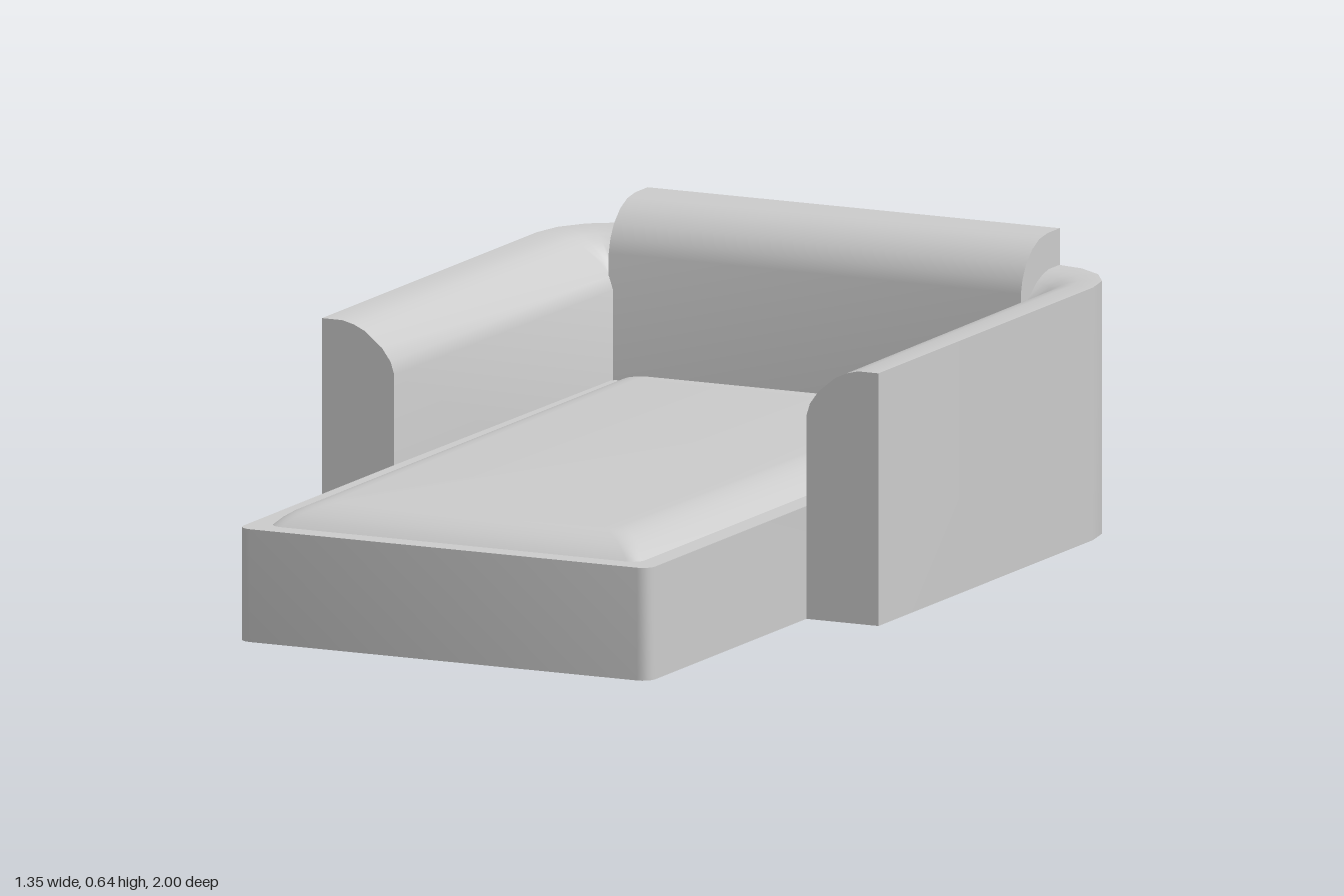
import * as THREE from 'three';
import { toCreasedNormals } from 'three/addons/utils/BufferGeometryUtils.js';

const material = new THREE.MeshStandardMaterial({ color: 0xcccccc, side: THREE.DoubleSide });

// Skin a list of cross-sections; closed joins each ring, caps fill the first or last one
function loft(name, rings, { closed = false, startCap = false, endCap = false } = {}) {
  const n = rings[0].length, index = [];
  const last = (rings.length - 1) * n;
  for (let i = 0; i < rings.length - 1; i++) {
    for (let j = 0; j < (closed ? n : n - 1); j++) {
      const a = i * n + j, b = i * n + (j + 1) % n;
      index.push(a, b, a + n, b, b + n, a + n);
    }
  }
  for (let k = 1; k < n - 1; k++) {
    if (startCap) index.push(0, k + 1, k);
    if (endCap) index.push(last, last + k, last + k + 1);
  }
  const geometry = new THREE.BufferGeometry();
  geometry.setAttribute('position', new THREE.Float32BufferAttribute(rings.flat(2), 3));
  geometry.setIndex(index);
  const mesh = new THREE.Mesh(toCreasedNormals(geometry, 0.6), material);
  mesh.name = name;
  return mesh;
}

// Horizontal rounded rectangle, inset from the seat outline
function seatRing(inset, y, radius = 0.03) {
  const hx = 0.5 - inset - radius, hz = 0.905 - inset - radius, ring = [];
  for (let q = 0; q < 4; q++) {
    const sx = q === 0 || q === 3 ? 1 : -1, sz = q < 2 ? -1 : 1;
    for (let s = 0; s <= 4; s++) {
      const a = (q + s / 4) * Math.PI / 2;
      ring.push([sx * hx + radius * Math.cos(a), y, 0.095 + sz * hz - radius * Math.sin(a)]);
    }
  }
  return ring;
}

export function createModel() {
  const group = new THREE.Group();

  // Seat base, open underneath, with a flat rim around the cushion
  group.add(loft('seatBase', [seatRing(0, 0), seatRing(0, 0.25)], { closed: true }));
  group.add(loft('seatRim', [seatRing(0, 0.25), seatRing(0.05, 0.25)], { closed: true }));

  // Domed cushion
  const dome = [[0.05, 0.25], [0.065, 0.264], [0.085, 0.277], [0.11, 0.288], [0.135, 0.295], [0.155, 0.297]];
  group.add(loft('cushion', dome.map(([inset, y]) => seatRing(inset, y)), { closed: true, endCap: true }));

  // Arm section: fraction of the width from the inner side, height
  const armProfile = [[0, 0], [0, 0.45], [0.05, 0.478], [0.17, 0.507], [0.4, 0.54], [0.56, 0.553],
    [0.72, 0.56], [1, 0.56], [1, 0]];
  const armRings = [armProfile.map(([d, y]) => [0.5 + d * 0.175, y, 0.235])];
  // The section runs back along the side, then turns the rear corner
  for (let s = 0; s <= 4; s++) {
    const a = s / 4 * Math.PI / 2;
    armRings.push(armProfile.map(([d, y]) =>
      [0.49 + d * 0.185 * Math.cos(a), y, -0.81 - d * 0.19 * Math.sin(a)]));
  }
  for (const side of [1, -1]) {
    const arm = loft(side > 0 ? 'leftArm' : 'rightArm', armRings, { startCap: true });
    arm.scale.x = side;
    group.add(arm);
  }

  // Backrest with a rounded upper front edge
  const backProfile = [[-0.81, 0], [-0.81, 0.53], [-0.818, 0.56], [-0.835, 0.59], [-0.865, 0.618],
    [-0.9, 0.635], [-0.94, 0.641], [-1, 0.641], [-1, 0]];
  const backRings = [0.5, -0.5].map(x => backProfile.map(([z, y]) => [x, y, z]));
  group.add(loft('backrest', backRings, { startCap: true, endCap: true }));

  return group;
}
